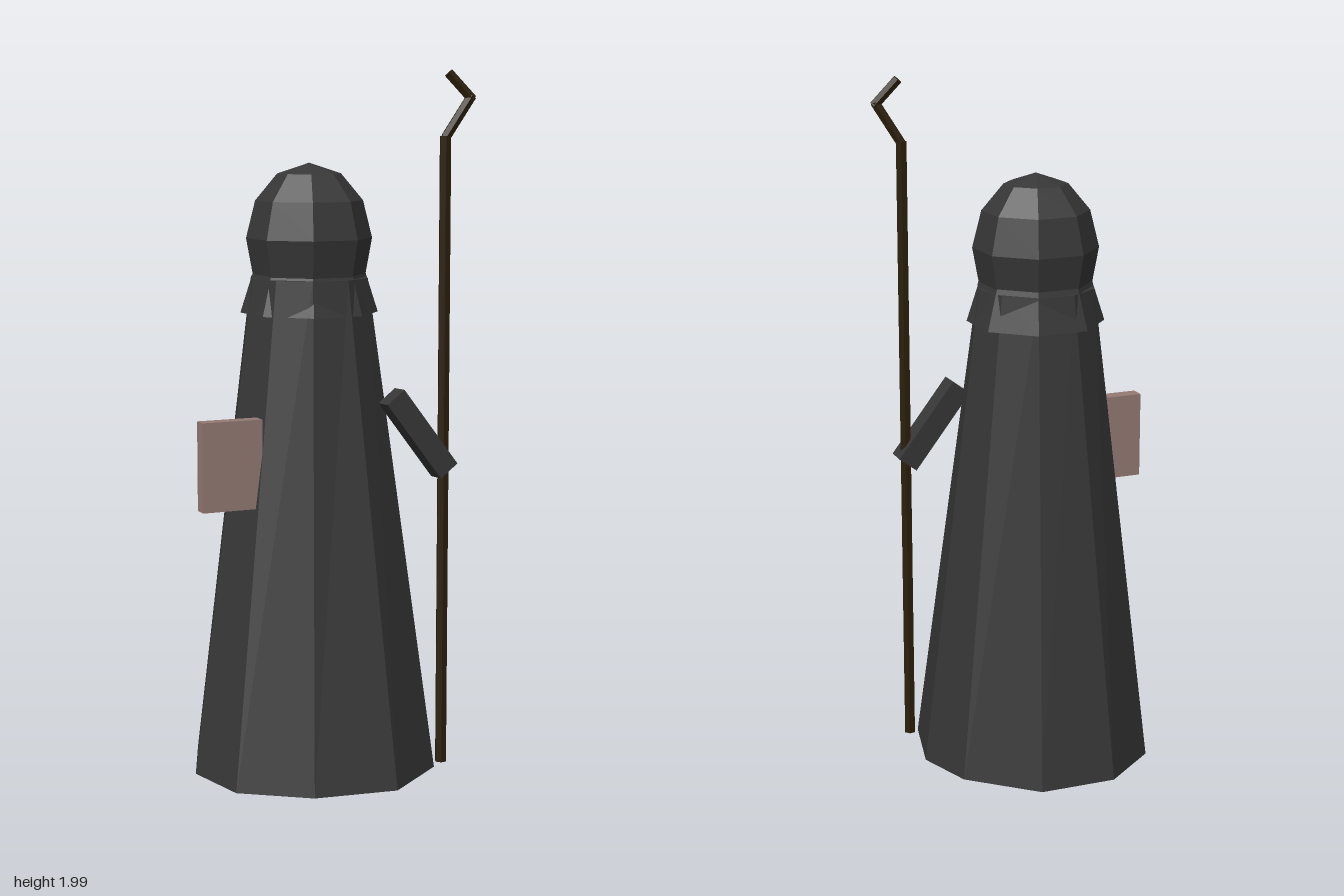
import * as THREE from 'three';

export function createModel() {
  const group = new THREE.Group();
  const mat = (name, color) => {
    const m = new THREE.MeshStandardMaterial({ color, flatShading: true, side: THREE.DoubleSide });
    m.name = name;
    return m;
  };
  const cloth = mat('charcoal cloth', 0x373737);
  const wood = mat('dark wood', 0x2b1f0c);
  const cover = mat('dusty pink cover', 0x947a74);

  const add = (name, geometry, material, x = 0, y = 0, z = 0) => {
    const mesh = new THREE.Mesh(geometry, material);
    mesh.name = name;
    mesh.position.set(x, y, z);
    group.add(mesh);
    return mesh;
  };

  // Place a part whose length runs along y between two points
  const between = (name, a, b, makeGeometry, material) => {
    const from = new THREE.Vector3(...a), to = new THREE.Vector3(...b);
    const dir = to.clone().sub(from);
    const mesh = add(name, makeGeometry(dir.length()), material);
    mesh.position.copy(from).add(to).multiplyScalar(0.5);
    mesh.quaternion.setFromUnitVectors(new THREE.Vector3(0, 1, 0), dir.normalize());
    return mesh;
  };

  // Robe: ten-sided taper with an uneven, slightly tilted hem
  const hem = [
    [-0.075, 0.355], [0.16, 0.31], [0.285, 0.13], [0.26, -0.11], [0.15, -0.26],
    [-0.07, -0.36], [-0.28, -0.28], [-0.39, -0.09], [-0.40, 0.14], [-0.29, 0.30],
  ];
  const robe = new THREE.CylinderGeometry(0.17, 0.36, 1, 10);
  const p = robe.attributes.position;
  for (let i = 0; i < p.count; i++) {
    const x = p.getX(i), z = p.getZ(i);
    if (p.getY(i) > 0) {
      p.setXYZ(i, x - 0.066, 1.42, z + 0.015);
    } else if (Math.hypot(x, z) < 0.01) {
      p.setXYZ(i, -0.065, 0.02, 0);
    } else {
      const k = (Math.round(Math.atan2(x, z) / (Math.PI / 5)) + 10) % 10;
      const [hx, hz] = hem[k];
      p.setXYZ(i, hx, 0.02 - 0.045 * hz, hz);
    }
  }
  robe.computeVertexNormals();
  add('robe', robe, cloth);

  // Hooded head and its flared collar, both eight-sided
  const lathe = (points) =>
    new THREE.LatheGeometry(points.map(([r, y]) => new THREE.Vector2(r, y)), 8);
  add('hood', lathe([
    [0, 1.37], [0.12, 1.38], [0.158, 1.42], [0.178, 1.53], [0.152, 1.635], [0.09, 1.71], [0, 1.74],
  ]), cloth, -0.065, 0, 0.012);
  add('collar', lathe([[0.195, 1.32], [0.157, 1.44]]), cloth, -0.065, 0, 0.01);

  // Sleeve reaching to the staff
  const sleeve = between('sleeve', [0.155, 1.095, 0.15], [0.312, 0.877, 0.1],
    (h) => new THREE.BoxGeometry(0.066, h, 0.06), cloth);
  sleeve.rotateY(0.25);

  // Book held out on the other side
  add('book', new THREE.BoxGeometry(0.176, 0.25, 0.043), cover, -0.298, 0.917, 0.211).rotation.y = 0.35;

  // Staff with a bent crook
  const pole = (r) => (h) => new THREE.CylinderGeometry(r, r, h, 6);
  between('staffShaft', [0.308, 0.022, 0.1], [0.308, 1.815, 0.1], pole(0.017), wood);
  between('staffBend', [0.308, 1.81, 0.1], [0.38, 1.925, 0.1], pole(0.0145), wood);
  between('staffTip', [0.382, 1.915, 0.1], [0.315, 1.988, 0.1], pole(0.0145), wood);

  return group;
}
